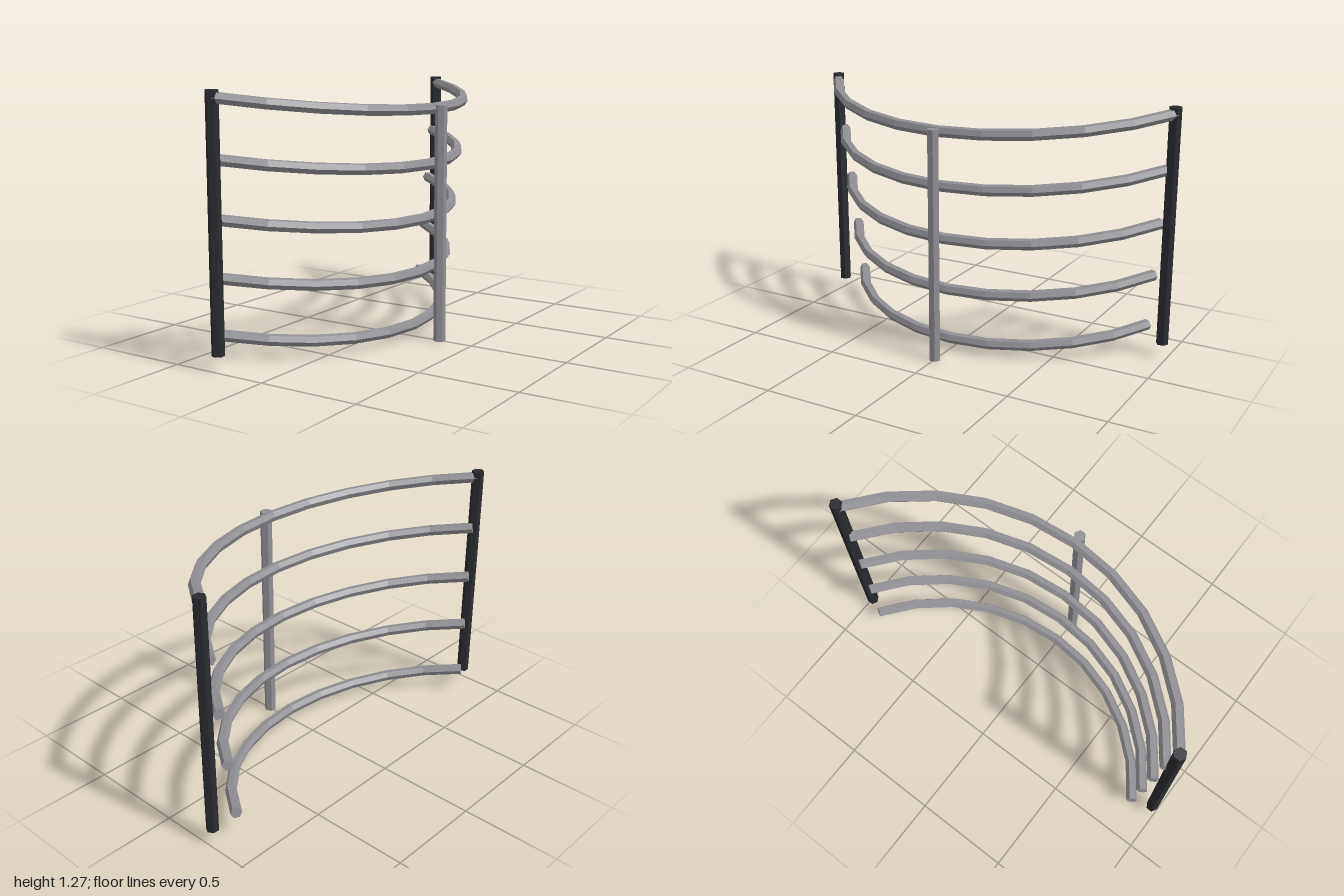
import * as THREE from 'three';
import { mergeGeometries } from 'three/addons/utils/BufferGeometryUtils.js';

const TUBE = 0.028;
const HALF_ARC = Math.PI / 3;

// Hexagonal bar bent along a 120 degree arc, capped at both ends;
// it lies flat with the middle of the arc at the origin, bulging to +x.
function arcBar(radius) {
  const bend = new THREE.TorusGeometry(radius, TUBE, 6, 10, HALF_ARC * 2).rotateZ(-HALF_ARC);
  const caps = [-1, 1].map((end) =>
    new THREE.CircleGeometry(TUBE, 6)
      .rotateX(-end * Math.PI / 2)
      .translate(radius, 0, 0)
      .rotateZ(end * HALF_ARC));
  return mergeGeometries([bend, ...caps]).rotateX(-Math.PI / 2).translate(-radius, 0, 0);
}

export function createModel() {
  const model = new THREE.Group();
  const steel = new THREE.MeshStandardMaterial({ color: 0x8f8f94, flatShading: true });
  const dark = new THREE.MeshStandardMaterial({ color: 0x2a2b30, flatShading: true });

  function add(name, geometry, material, x, y, z) {
    const mesh = new THREE.Mesh(geometry, material);
    mesh.name = name;
    mesh.position.set(x, y, z);
    model.add(mesh);
    return mesh;
  }

  // Five tilted rails, each lower one a little tighter
  for (let i = 0; i < 5; i++) {
    const rail = add('rail' + (i + 1), arcBar(1.117 - 0.0285 * i), steel,
      0.281 - 0.0285 * i, 1.155 - 0.2735 * i, 0);
    rail.rotation.z = -Math.atan(0.145);
  }

  // Dark end posts
  const endPost = new THREE.CylinderGeometry(0.031, 0.031, 1.2, 6);
  add('endPostFront', endPost, dark, -0.275, 0.67, 0.969);
  add('endPostBack', endPost, dark, -0.275, 0.67, -0.969);

  // Lighter post at the middle of the curve
  add('middlePost', new THREE.CylinderGeometry(0.03, 0.03, 1.172, 6), steel, 0.319, 0.586, 0);

  return model;
}
